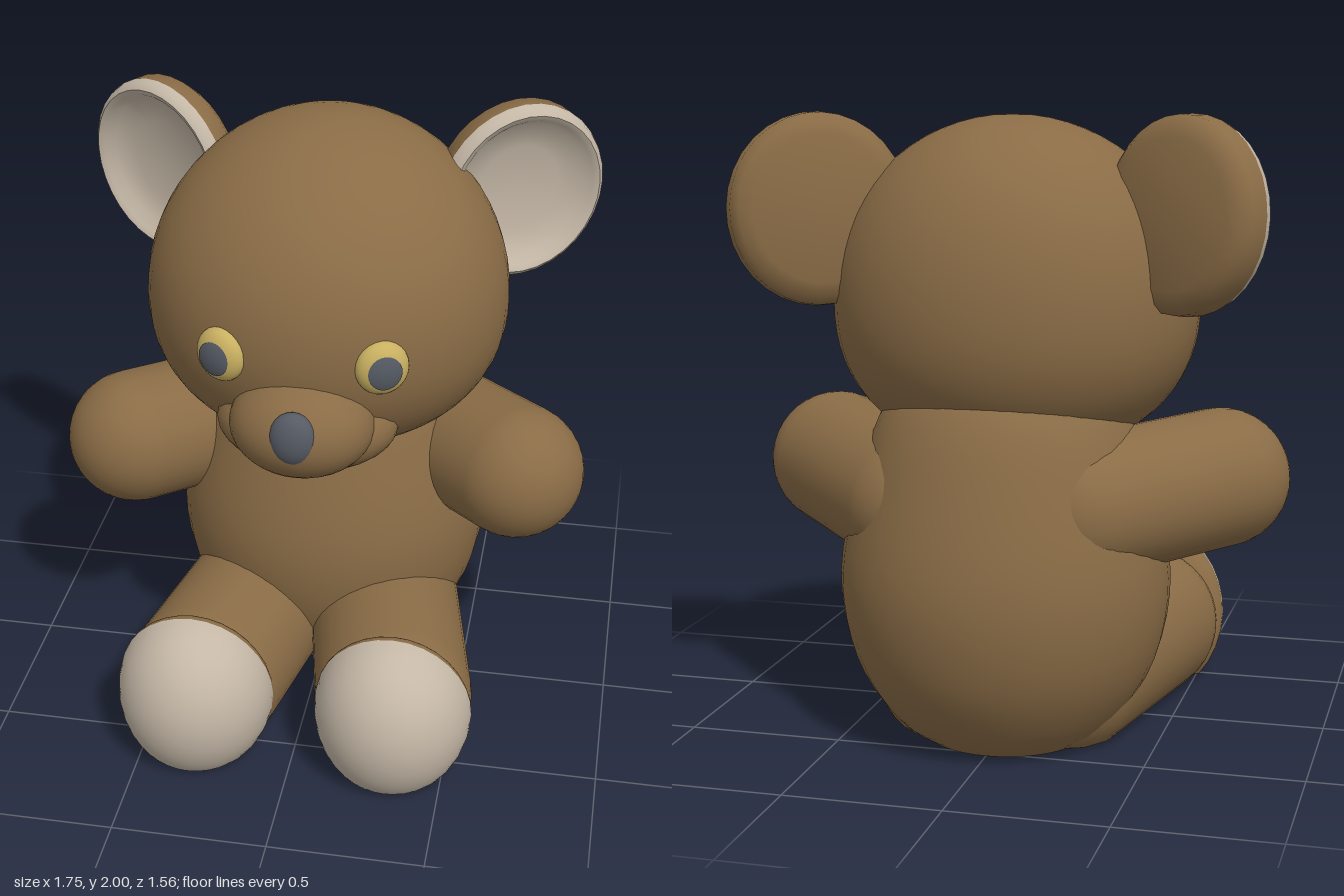
import * as THREE from 'three';
import { toCreasedNormals } from 'three/addons/utils/BufferGeometryUtils.js';

const paint = (color) => new THREE.MeshStandardMaterial({ color });
const FUR = paint(0x8a6c46), PALE = paint(0xc4b7a6), DARK = paint(0x565b64), GOLD = paint(0xc9b061);
const V3 = (x, y, z) => new THREE.Vector3(x, y, z);

export function createModel() {
  const model = new THREE.Group();

  const add = (name, geo, mat, parent = model) => {
    const mesh = new THREE.Mesh(geo, mat);
    mesh.name = name;
    parent.add(mesh);
    return mesh;
  };

  // Ellipsoid with its pole facing +z; from/to select a slice along that axis
  const ball = (rx, ry, rz, from = 0, to = Math.PI, seg = 32) =>
    new THREE.SphereGeometry(1, seg, 20, 0, Math.PI * 2, from, to - from).rotateX(Math.PI / 2).scale(rx, ry, rz);

  // Press everything below the floor flat, keeping a sharp rim
  const sitOnFloor = (geo) => {
    const p = geo.attributes.position;
    for (let i = 0; i < p.count; i++) p.setY(i, Math.max(0, p.getY(i)));
    return toCreasedNormals(geo, 0.6);
  };

  // Rounded limb running from a to b, radius r
  const limb = (a, b, r) => {
    const dir = b.clone().sub(a), mid = a.clone().add(b).multiplyScalar(0.5);
    const turn = new THREE.Quaternion().setFromUnitVectors(V3(0, 1, 0), dir.clone().normalize());
    return new THREE.CapsuleGeometry(r, dir.length(), 12, 36).applyQuaternion(turn).translate(mid.x, mid.y, mid.z);
  };

  // Body: egg-shaped lathe with a flat seat
  const outline = new THREE.SplineCurve([
    [0.245, 0], [0.35, 0.085], [0.46, 0.28], [0.5, 0.55], [0.44, 0.86], [0.35, 1.1], [0.18, 1.25], [0, 1.29],
  ].map(([r, y]) => new THREE.Vector2(r, y))).getPoints(28);
  const bodyGeo = new THREE.LatheGeometry([new THREE.Vector2(0, 0), ...outline], 40);
  add('body', toCreasedNormals(bodyGeo.scale(1.06, 1, 1).translate(0, 0, -0.28), 0.6), FUR);

  // Head: domed above, fuller and flatter below, crown leaning back
  const headGeo = new THREE.SphereGeometry(1, 48, 32);
  const hp = headGeo.attributes.position;
  for (let i = 0; i < hp.count; i++) {
    const y = hp.getY(i), flat = Math.sqrt(Math.max(0, 1 - y * y));
    const k = y < 0 && flat > 1e-4 ? Math.pow(1 - Math.pow(-y, 2.25), 1 / 2.25) / flat : 1;
    hp.setXYZ(i, hp.getX(i) * 0.59 * k, 1.4 + y * (y > 0 ? 0.59 : 0.49),
      -0.135 + hp.getZ(i) * 0.55 * k - (y > 0 ? 0.05 * y * y : 0.02 * y * y));
  }
  add('head', toCreasedNormals(headGeo, 1), FUR);

  // Face
  add('cheeks', ball(0.29, 0.155, 0.2).translate(0, 1.125, 0.25), FUR);
  add('snout', ball(0.23, 0.17, 0.19).translate(0, 1.165, 0.345), FUR);
  add('nose', ball(0.075, 0.09, 0.05, 0, Math.PI, 24).translate(0, 1.195, 0.5), DARK);

  // Ear profiles: furry back, pale rim and dished front
  const spin = (pts) => new THREE.LatheGeometry(pts.map(([r, y]) => new THREE.Vector2(r, y)), 32)
    .rotateX(Math.PI / 2).scale(0.94, 1, 1);
  const earBack = [[0, -0.075], [0.23, -0.075], [0.275, -0.06], [0.3, -0.03], [0.305, 0.03]];
  const earFront = [[0.305, 0.03], [0.298, 0.055], [0.28, 0.07], [0.26, 0.06], [0.235, 0.03], [0.15, 0.01], [0, 0]];

  for (const side of [1, -1]) {
    const label = side > 0 ? 'left' : 'right';

    const ear = new THREE.Group();
    ear.name = label + 'Ear';
    add('earBack', toCreasedNormals(spin(earBack), 0.9), FUR, ear);
    add('earLining', toCreasedNormals(spin(earFront), 0.9), PALE, ear);
    ear.position.set(0.58 * side, 1.695, -0.375);
    ear.rotation.set(0.08, 0.51 * side, 0);
    model.add(ear);

    // Eye: gold ball with a dark pupil cap just proud of it
    const eye = new THREE.Group();
    eye.name = label + 'Eye';
    add('iris', ball(0.085, 0.09, 0.05, 0, Math.PI, 24), GOLD, eye);
    add('pupil', ball(0.088, 0.093, 0.053, 0, 0.66, 24), DARK, eye);
    eye.position.set(0.25 * side, 1.39, 0.357);
    eye.rotation.y = 0.4 * side;
    model.add(eye);

    add(label + 'Arm', limb(V3(0.65 * side, 0.83, -0.03), V3(0.27 * side, 0.785, -0.41), 0.225), FUR);
    add(label + 'Leg', sitOnFloor(limb(V3(0.315 * side, 0.2, 0.42), V3(0.18 * side, 0.2, -0.25), 0.26)), FUR);

    // Foot: shallow furry heel and a deep pale sole, tipped slightly down
    const place = (geo) => sitOnFloor(geo.rotateX(0.15).translate(0.328 * side, 0.215, 0.51));
    add(label + 'Heel', place(ball(0.257, 0.305, 0.1, Math.PI / 2, Math.PI)), FUR);
    add(label + 'Sole', place(ball(0.257, 0.305, 0.27, 0, Math.PI / 2)), PALE);
  }
  return model;
}
